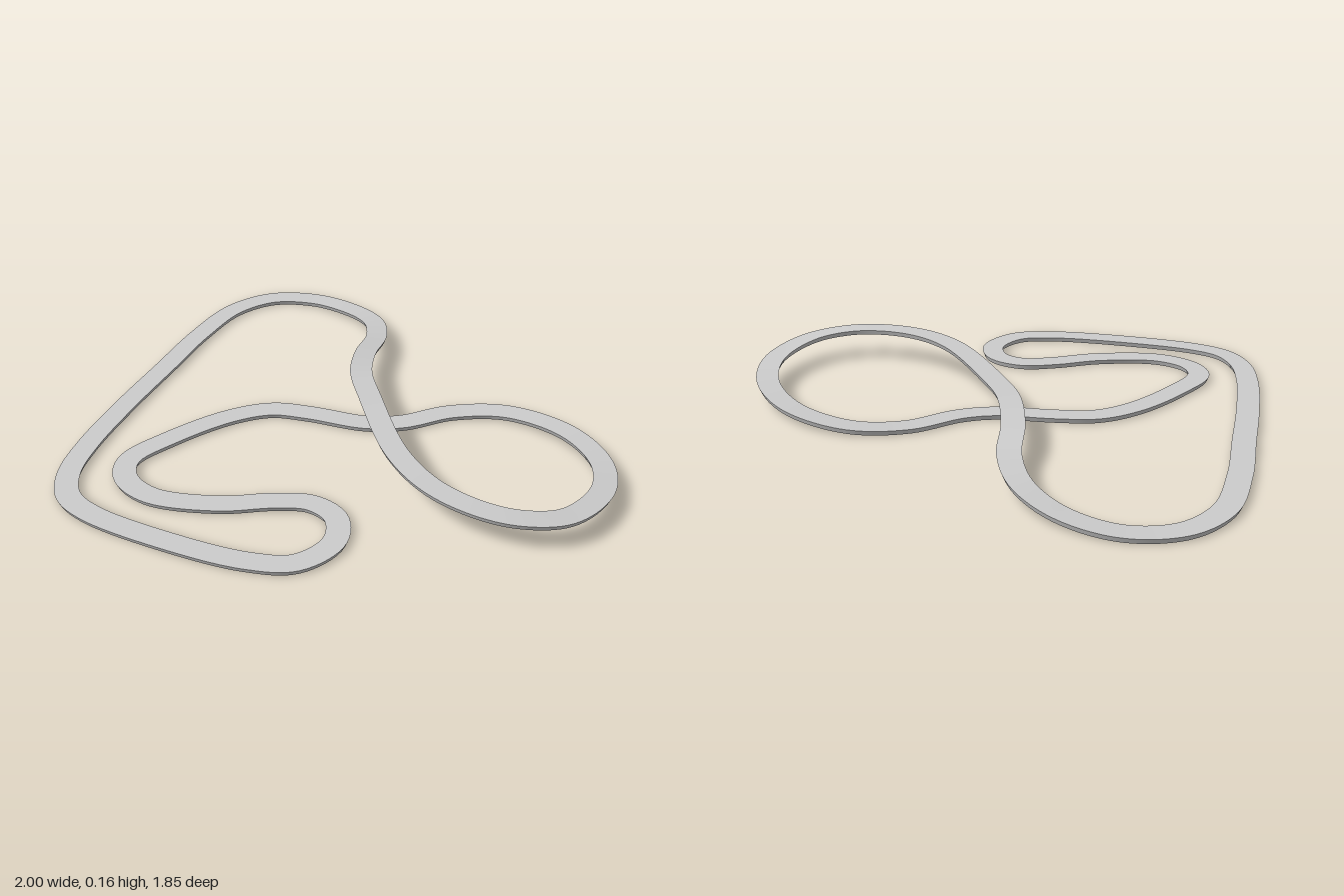
import * as THREE from 'three';

// Centreline of the road: x, height of the underside, z
const PATH = [
  [-0.956, 0, -0.4], [-0.956, 0, -0.1], [-0.955, 0, 0.2], [-0.938, 0, 0.5], [-0.9, 0, 0.68],
  [-0.825, 0, 0.795], [-0.7, 0, 0.85], [-0.36, 0, 0.877], [-0.06, 0, 0.86], [0.09, 0, 0.805],
  [0.163, 0, 0.66], [0.115, 0, 0.535], [0, 0, 0.493], [-0.13, 0, 0.535], [-0.3, 0, 0.625],
  [-0.55, 0, 0.68], [-0.69, 0, 0.625], [-0.74, 0, 0.52], [-0.67, 0, 0.34], [-0.53, 0, 0.12],
  [-0.4, 0, 0.01], [-0.25, 0, -0.025], [-0.02, 0, -0.05], [0.11, 0, -0.11], [0.27, 0, -0.255],
  [0.47, 0.008, -0.326], [0.72, 0.027, -0.265], [0.9, 0.05, -0.09], [0.956, 0.075, 0.12], [0.885, 0.096, 0.33],
  [0.75, 0.112, 0.42], [0.6, 0.122, 0.438], [0.42, 0.13, 0.395], [0.24, 0.136, 0.27], [0, 0.136, -0.04],
  [-0.1, 0.128, -0.195], [-0.16, 0.103, -0.38], [-0.19, 0.072, -0.57], [-0.27, 0.045, -0.725],
  [-0.42, 0.017, -0.835], [-0.62, 0.002, -0.88], [-0.805, 0, -0.82], [-0.92, 0, -0.66],
];

// Cross-section (sideways, up): wide road surface, slightly narrower underside
const SECTION = [[-0.044, 0.02], [0.044, 0.02], [0.036, 0], [-0.036, 0]];
const STEPS = 400;

// Sweep the section round the closed curve, keeping it level; each face has its own vertices
function sweepRoad(curve) {
  const positions = [], indices = [];
  const up = new THREE.Vector3(0, 1, 0);
  const frames = Array.from({ length: STEPS }, (_, i) => {
    const t = i / STEPS;
    const side = curve.getTangentAt(t).cross(up).normalize();
    const p = curve.getPointAt(t);
    p.y = Math.max(0, p.y);
    return { p, side };
  });
  SECTION.forEach((a, k) => {
    const b = SECTION[(k + 1) % SECTION.length];
    const base = positions.length / 3;
    frames.forEach(({ p, side }, i) => {
      for (const [s, h] of [a, b]) positions.push(p.x + side.x * s, p.y + h, p.z + side.z * s);
      const m = base + 2 * i, n = base + 2 * ((i + 1) % STEPS);
      indices.push(m, m + 1, n + 1, m, n + 1, n);
    });
  });
  const geometry = new THREE.BufferGeometry();
  geometry.setAttribute('position', new THREE.Float32BufferAttribute(positions, 3));
  geometry.setIndex(indices);
  geometry.computeVertexNormals();
  return geometry;
}

export function createModel() {
  const group = new THREE.Group();
  group.name = 'raceCircuit';
  const curve = new THREE.CatmullRomCurve3(PATH.map((p) => new THREE.Vector3(...p)), true, 'centripetal');
  curve.arcLengthDivisions = 1000;
  const road = new THREE.Mesh(sweepRoad(curve), new THREE.MeshStandardMaterial({ color: 0xcccccc }));
  road.name = 'trackRoad';
  group.add(road);
  return group;
}
